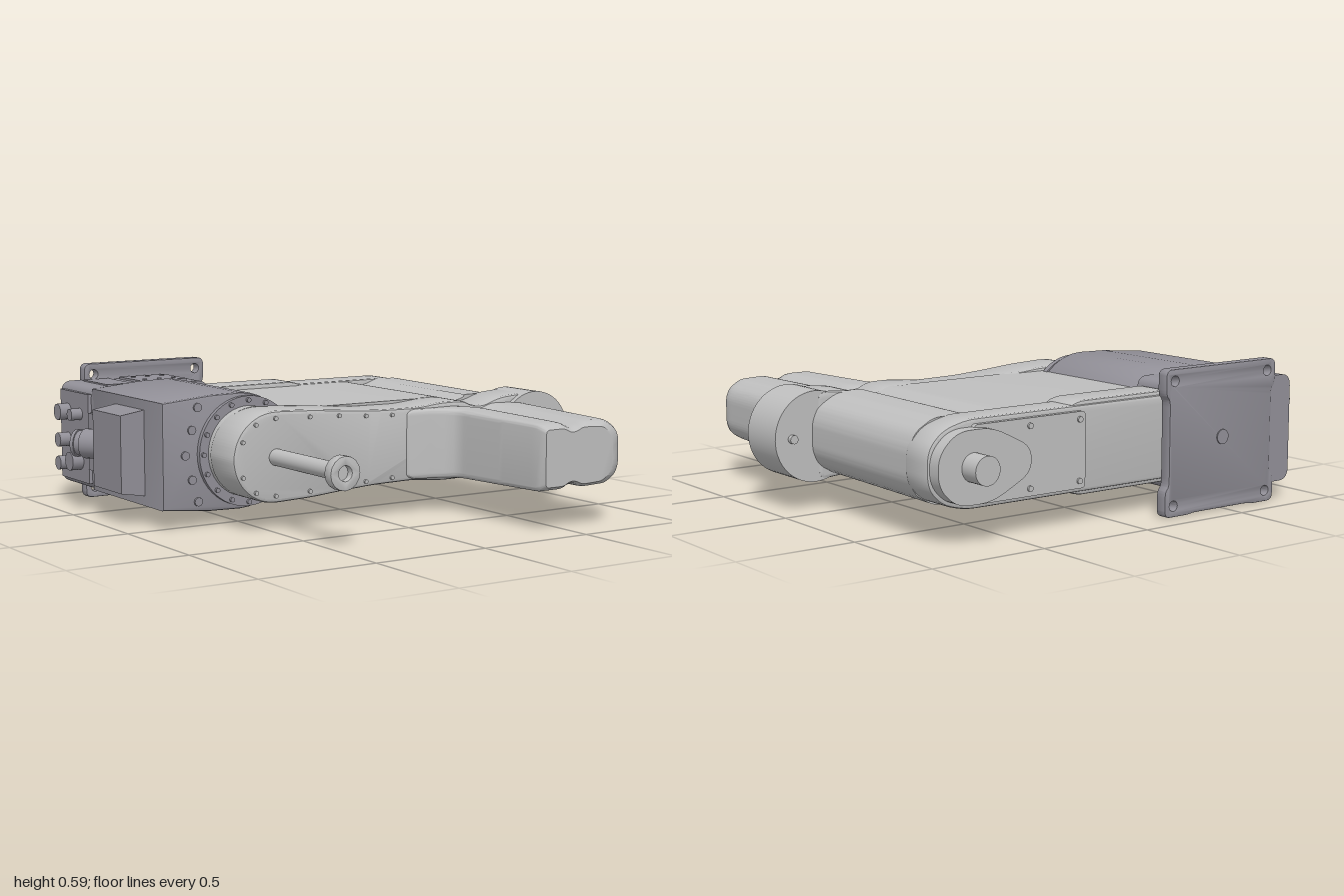
import * as THREE from 'three';
import { toCreasedNormals } from 'three/addons/utils/BufferGeometryUtils.js';

const CY = 0.3; // height of the horizontal centre plane
const AX = -0.48; // x of the first joint axis

export function createModel() {
  const model = new THREE.Group();
  const light = new THREE.MeshStandardMaterial({ color: 0xbfbfbf });
  light.name = 'light grey';
  const dark = new THREE.MeshStandardMaterial({ color: 0x929098 });
  dark.name = 'slate grey';

  const add = (name, geo, mat) => {
    const mesh = new THREE.Mesh(geo, mat);
    mesh.name = name;
    model.add(mesh);
    return mesh;
  };
  // closed outline with softened corners
  const rounded = (pts, r) => {
    const s = new THREE.Shape();
    const v = pts.map(p => new THREE.Vector2(p[0], p[1]));
    v.forEach((p, i) => {
      const a = v[(i + v.length - 1) % v.length], b = v[(i + 1) % v.length];
      const p0 = p.clone().lerp(a, Math.min(0.45, r / p.distanceTo(a)));
      const p1 = p.clone().lerp(b, Math.min(0.45, r / p.distanceTo(b)));
      if (i) s.lineTo(p0.x, p0.y); else s.moveTo(p0.x, p0.y);
      s.quadraticCurveTo(p.x, p.y, p1.x, p1.y);
    });
    s.closePath();
    return s;
  };
  // upper half outline (x, height above centre) mirrored below
  const sym = half => [
    ...half.map(([x, h]) => [x, CY - h]),
    ...half.slice().reverse().map(([x, h]) => [x, CY + h]),
  ];
  const rect = (x0, x1, y0, y1) => [[x0, y0], [x1, y0], [x1, y1], [x0, y1]];
  // prism along z, with optional bevel and vertex rule
  const prism = (name, shape, z0, z1, mat, { bevel = 0, steps = 1, warp } = {}) => {
    const geo = new THREE.ExtrudeGeometry(shape, {
      depth: z1 - z0 - 2 * bevel, steps, curveSegments: 8, bevelEnabled: bevel > 0,
      bevelSize: bevel, bevelThickness: bevel, bevelOffset: -bevel, bevelSegments: 2,
    });
    geo.translate(0, 0, z0 + bevel);
    if (warp) {
      const p = geo.attributes.position;
      for (let i = 0; i < p.count; i++) {
        const [x, y] = warp(p.getX(i), p.getY(i), p.getZ(i));
        p.setXY(i, x, y);
      }
    }
    return add(name, toCreasedNormals(geo, 0.6), mat);
  };
  const rod = (name, x, y, z0, z1, r, mat, n = 32) => {
    const geo = new THREE.CylinderGeometry(r, r, z1 - z0, n).rotateX(Math.PI / 2);
    return add(name, geo.translate(x, y, (z0 + z1) / 2), mat);
  };
  const box = (name, x0, x1, y0, y1, z0, z1, mat) => add(name,
    new THREE.BoxGeometry(x1 - x0, y1 - y0, z1 - z0)
      .translate((x0 + x1) / 2, (y0 + y1) / 2, (z0 + z1) / 2), mat);

  // Mounting plate with corner lugs and bolt holes
  const plate = rounded([
    [-0.77, 0.005], [-0.65, 0.005], [-0.63, 0.01], [-0.33, 0.01], [-0.31, 0.005], [-0.18, 0.005],
    [-0.18, 0.11], [-0.2, 0.13], [-0.2, 0.47], [-0.18, 0.49], [-0.18, 0.592],
    [-0.77, 0.592], [-0.77, 0.49], [-0.75, 0.47], [-0.75, 0.13], [-0.77, 0.11]], 0.03);
  for (const x of [-0.725, -0.225]) for (const y of [0.05, 0.545]) {
    plate.holes.push(new THREE.Path().absarc(x, y, 0.02, 0, Math.PI * 2, true));
  }
  prism('mountingPlate', plate, -0.9, -0.85, dark, { bevel: 0.005 });
  rod('plateCentrePlug', AX, CY, -0.905, -0.89, 0.03, dark, 20);

  // Base housing: flat on the left, round on the right
  const body = new THREE.Shape();
  body.moveTo(-0.86, 0.085);
  body.lineTo(-0.64, 0.065);
  body.absarc(-0.505, CY, 0.238, -Math.PI / 2, Math.PI / 2, false);
  body.lineTo(-0.64, 0.535);
  body.lineTo(-0.86, 0.515);
  body.closePath();
  prism('baseHousing', body, -0.6, 0.035, dark, { bevel: 0.012 });
  prism('baseRear', rounded(rect(-0.86, -0.31, 0.08, 0.52), 0.05), -0.895, -0.58, dark);
  for (const s of [-1, 1]) {
    // access covers above and below the rear
    const y = CY + s * 0.222;
    box('accessFrame', -0.78, -0.66, y - 0.004, y + 0.004, -0.84, -0.61, dark);
    box('boltedPad', -0.61, -0.39, y - 0.004, y + 0.008, -0.83, -0.62, dark);
    for (const x of [-0.57, -0.5, -0.43]) for (const z of [-0.78, -0.67]) {
      const b = add('padBolt', new THREE.CylinderGeometry(0.01, 0.01, 0.024, 10), dark);
      b.position.set(x, y, z);
    }
  }

  // Joint flange with a ring of bolts
  rod('jointFlange', AX, CY, 0.03, 0.055, 0.225, dark, 48);
  rod('jointNeck', AX, CY, 0.05, 0.1, 0.185, light, 48);
  for (let i = 0; i < 16; i++) {
    const a = i / 16 * Math.PI * 2;
    rod('flangeBolt', AX + Math.cos(a) * 0.208, CY + Math.sin(a) * 0.208, 0.05, 0.066, 0.01, dark, 10);
  }
  for (const h of [-0.19, -0.1, 0, 0.1, 0.19]) {
    rod('housingBolt', -0.76 + Math.abs(h) * 0.3, CY + h, 0.03, 0.043, 0.018, dark, 12);
  }

  // Side terminal box, connector panel and angled plug
  const cover = add('terminalBox', new THREE.BoxGeometry(0.11, 0.35, 0.25), dark);
  cover.position.set(-0.91, CY, -0.245);
  const cp = cover.geometry.attributes.position;
  for (let i = 0; i < cp.count; i++) if (cp.getX(i) < 0) cp.setY(i, cp.getY(i) * 0.9);
  cover.geometry.computeVertexNormals();
  box('connectorPanel', -0.875, -0.85, 0.11, 0.49, -0.87, -0.6, dark);
  box('plugSeat', -0.9, -0.85, 0.18, 0.42, -0.55, -0.38, dark);
  const plug = new THREE.Group();
  plug.name = 'angledPlug';
  [[0.062, 0.1, 0.05], [0.052, 0.05, 0.11], [0.058, 0.015, 0.135]].forEach(([r, len, at]) => {
    const m = new THREE.Mesh(new THREE.CylinderGeometry(r, r, len, 24), dark);
    m.name = 'plugSection';
    m.position.y = at;
    plug.add(m);
  });
  plug.position.set(-0.88, CY, -0.42);
  plug.quaternion.setFromUnitVectors(new THREE.Vector3(0, 1, 0), new THREE.Vector3(-0.55, 0, -0.83).normalize());
  model.add(plug);
  for (const [y, z, r] of [[0.4, -0.8, 0.035], [0.28, -0.8, 0.03], [0.18, -0.8, 0.03], [0.2, -0.69, 0.04], [0.4, -0.68, 0.025]]) {
    const c = add('panelConnector', new THREE.CylinderGeometry(r, r, 0.06, 16).rotateZ(Math.PI / 2), dark);
    c.position.set(-0.895, y, z);
  }

  // Wide arm body with a lengthwise groove and rounded outer edge
  prism('armBody', rounded(sym([
    [-0.4, 0.165], [0.45, 0.165], [0.49, 0.145], [0.54, 0.145], [0.6, 0.168], [0.74, 0.165], [0.82, 0.12], [0.85, 0.06],
  ]), 0.03), -0.64, 0.1, light, {
    warp: (x, y, z) => [x > 0.6 ? x - 0.025 * (z + 0.64) / 0.74 : x, y],
  });
  prism('rearBar', rounded(sym([
    [-0.4, 0.17], [0.68, 0.17], [0.79, 0.14], [0.855, 0.07],
  ]), 0.05), -0.765, -0.62, light, { bevel: 0.012 });
  // raised rib along the rear bar
  prism('rearRib', rounded(sym([[-0.32, 0.185], [0.13, 0.185], [0.18, 0.172]]), 0.02), -0.755, -0.6, light, { bevel: 0.01 });

  // Rear cover panel, tapered bearing plate and shaft stub
  prism('rearCover', rounded(rect(0.13, 0.66, 0.15, 0.45), 0.02), -0.785, -0.75, light);
  prism('bearingPlate', rounded(sym([
    [0.42, 0.05], [0.6, 0.14], [0.76, 0.14], [0.845, 0.06],
  ]), 0.06), -0.82, -0.75, light);
  rod('rearShaft', 0.685, CY, -0.905, -0.8, 0.056, light);
  for (const x of [0.16, 0.4]) for (const y of [0.18, 0.42]) {
    rod('coverBolt', x, y, -0.793, -0.78, 0.012, light, 10);
  }

  // Front link, waisted between the joint end and the far hub
  const left = [0, 1, 2, 3, 4, 5].map(i => {
    const a = i / 5 * Math.PI / 2 * 0.94 + 0.06;
    return [AX - Math.cos(a) * 0.192, Math.sin(a) * 0.185];
  });
  prism('frontLink', rounded(sym([
    ...left, [-0.3, 0.178], [-0.15, 0.165], [0, 0.155], [0.2, 0.152], [0.34, 0.166],
    [0.45, 0.165], [0.5, 0.14], [0.56, 0.14], [0.64, 0.168], [0.8, 0.18],
  ]), 0.04), 0.07, 0.265, light, { bevel: 0.015 });
  rod('farHub', 0.812, CY, 0.075, 0.29, 0.184, light, 64);
  rod('hubBolt', 0.92, CY, 0.055, 0.08, 0.018, light, 12);
  for (const [x, h] of [[-0.63, 0.07], [-0.57, 0.135], [-0.48, 0.155], [-0.32, 0.15], [-0.18, 0.145], [-0.05, 0.135], [0.08, 0.13], [0.21, 0.13]]) {
    for (const s of [-1, 1]) rod('linkBolt', x, CY + s * h, 0.26, 0.274, 0.009, light, 10);
  }

  // Forward arm: flared root, tapered sides, softened tip
  prism('forwardArm', rounded(sym([
    [0.34, 0.14], [0.47, 0.14], [0.51, 0.12], [0.55, 0.12], [0.6, 0.14], [0.74, 0.135], [0.8, 0.1], [0.82, 0.06],
  ]), 0.025), 0.2, 0.895, light, {
    steps: 28,
    warp: (x, y, z) => {
      const t = (z - 0.2) / 0.695, u = (x - 0.34) / 0.48;
      const flare = Math.min(0.2, 0.2 * Math.max(0, (0.4 - z) / 0.13) ** 3);
      const s = Math.min(1, Math.max(0, (z - 0.8) / 0.095));
      const nose = 0.07 * (1 - Math.sqrt(1 - s * s));
      const tip = Math.max(0, (z - 0.82) / 0.075);
      const l = 0.34 + 0.028 * t + 0.01 * tip ** 4 - flare * (1 - u) ** 3;
      const r = 0.83 - 0.035 * t - nose;
      return [l + (r - l) * u, CY + (y - CY) * (1.05 - 0.09 * t - 0.14 * tip ** 3)];
    },
  });

  // Spindle projecting from the joint, with a recessed head
  rod('spindle', AX + 0.005, CY, 0.25, 0.73, 0.034, light);
  const head = new THREE.Shape().absarc(AX + 0.005, CY, 0.067, 0, Math.PI * 2, false);
  head.holes.push(new THREE.Path().absarc(AX + 0.005, CY, 0.03, 0, Math.PI * 2, true));
  prism('spindleHead', head, 0.715, 0.76, light, { bevel: 0.003 });

  return model;
}
